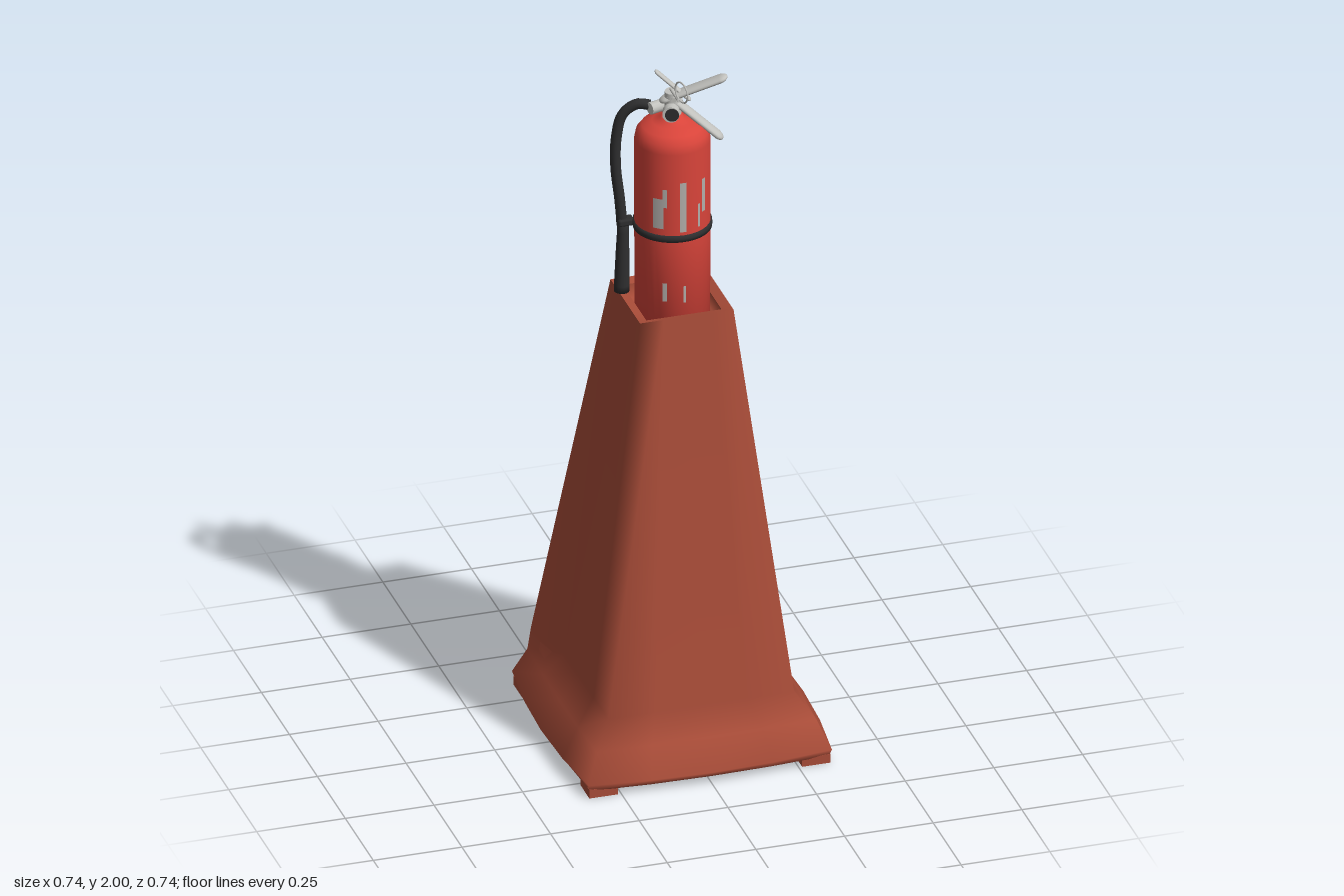
import * as THREE from 'three';
import { RoundedBoxGeometry } from 'three/addons/geometries/RoundedBoxGeometry.js';

const mat = (name, color, side = THREE.FrontSide) => {
  const m = new THREE.MeshStandardMaterial({ color, side });
  m.name = name;
  return m;
};

// Skin through rounded-square rings: [y, half size at corner, half size at middle, dented-corner pull]
function squareSkin(rings, seg = 4) {
  const n = seg * 4, pos = [], index = [];
  for (const [y, c, m, pull = 0] of rings) {
    for (let i = 0; i < n; i++) {
      const s = ((i % seg) / seg) * 2 - 1, side = Math.floor(i / seg);
      const out = c + (m - c) * (1 - s * s), along = c * s;
      const [sx, sz] = [[along, out], [out, -along], [-along, -out], [-out, along]][side];
      const dent = side === 3 && s === -1 ? pull : 0;
      pos.push(sx - dent, y, sz - dent);
    }
  }
  for (let j = 0; j < rings.length - 1; j++) {
    for (let i = 0; i < n; i++) {
      const a = j * n + i, b = j * n + ((i + 1) % n);
      index.push(a, b, b + n, a, b + n, a + n);
    }
  }
  const g = new THREE.BufferGeometry();
  g.setAttribute('position', new THREE.Float32BufferAttribute(pos, 3));
  g.setIndex(index);
  g.computeVertexNormals();
  return g;
}

const lathe = (pts, seg = 32) => new THREE.LatheGeometry(pts.map(([r, y]) => new THREE.Vector2(r, y)), seg);

export function createModel() {
  const model = new THREE.Group();
  const clay = mat('standOrange', 0xa84c38, THREE.DoubleSide);
  const red = mat('cylinderRed', 0xd8443a);
  const metal = mat('metalGrey', 0xc2c2be);
  const black = mat('rubberBlack', 0x2e2e2f);
  const label = mat('labelGrey', 0xb2aeaa, THREE.DoubleSide);

  const add = (name, geo, material, p = [0, 0, 0], r = [0, 0, 0], parent = model) => {
    const mesh = new THREE.Mesh(geo, material);
    mesh.name = name;
    mesh.position.set(...p);
    mesh.rotation.set(...r);
    parent.add(mesh);
    return mesh;
  };

  // Tapered hollow stand with flared foot, one dented corner and a shallow pocket
  add('standBody', squareSkin([
    [0.02, 0.336, 0.352], [0.04, 0.343, 0.37], [0.12, 0.31, 0.316],
    [0.19, 0.262, 0.262, 0.04], [1.31, 0.132, 0.132],
  ]), clay);
  add('standRim', squareSkin([[1.31, 0.132, 0.132], [1.302, 0.106, 0.106]]), clay);
  add('standPocket', squareSkin([[1.302, 0.106, 0.106], [1.26, 0.104, 0.104], [1.26, 0, 0]]), clay);
  add('standInside', squareSkin([
    [1.25, 0, 0], [1.25, 0.125, 0.125], [0.187, 0.249, 0.249, 0.04], [0.115, 0.297, 0.302],
    [0.035, 0.328, 0.35], [0.02, 0.336, 0.352],
  ]), clay);
  for (const x of [-1, 1]) {
    for (const z of [-1, 1]) {
      add('cornerFoot', new THREE.BoxGeometry(0.08, 0.026, 0.08), clay, [x * 0.3, 0.013, z * 0.3]);
    }
  }

  // Pressure cylinder
  const z0 = 0.003;
  add('cylinder', lathe([
    [0, 1.265], [0.102, 1.265], [0.103, 1.535], [0.103, 1.79], [0.098, 1.815],
    [0.083, 1.834], [0.055, 1.845], [0.032, 1.852], [0.026, 1.866], [0, 1.868],
  ]), red, [0, 0, z0]);
  add('strap', lathe([[0.1, 1.525], [0.107, 1.526], [0.108, 1.535], [0.107, 1.544], [0.1, 1.545]], 40), black, [0, 0, z0]);
  add('strapClip', new RoundedBoxGeometry(0.045, 0.02, 0.034, 2, 0.006), black, [-0.12, 1.535, -0.038]);

  // Worn label strips: [angle from front, angular width, bottom, top]
  const strips = [
    [-0.68, 0.3, 1.565, 1.655], [-0.5, 0.12, 1.63, 1.685], [-0.02, 0.17, 1.555, 1.705],
    [0.62, 0.13, 1.6, 1.7], [0.45, 0.06, 1.56, 1.63], [1.46, 0.05, 1.56, 1.7],
    [-0.5, 0.12, 1.345, 1.4], [0.02, 0.06, 1.34, 1.39],
  ];
  for (const [a, w, lo, hi] of strips) {
    add('labelStrip', new THREE.CylinderGeometry(0.1045, 0.1045, hi - lo, 4, 1, true, a - w / 2, w),
      label, [0, (lo + hi) / 2, z0]);
  }

  // Valve
  add('valveBody', new THREE.CylinderGeometry(0.021, 0.025, 0.075, 16), metal, [0, 1.895, z0]);
  add('valveOutlet', new THREE.CylinderGeometry(0.017, 0.017, 0.065, 12), metal, [-0.032, 1.888, -0.008], [0, 0.3, Math.PI / 2]);
  add('gaugeCase', new THREE.CylinderGeometry(0.023, 0.023, 0.024, 20), metal, [-0.016, 1.888, 0.042], [Math.PI / 2, 0, 0.35]);
  add('gaugeFace', new THREE.CylinderGeometry(0.019, 0.019, 0.004, 20), black, [-0.017, 1.888, 0.0545], [Math.PI / 2, 0, 0.35]);

  // Squeeze levers with rounded ends, in a turned group
  const levers = new THREE.Group();
  levers.name = 'levers';
  levers.position.set(0, 0, z0);
  levers.rotation.y = -0.33;
  model.add(levers);
  const bar = (name, x1, y1, x2, y2, w, t) => add(name,
    new THREE.CapsuleGeometry(w / 2, Math.hypot(x2 - x1, y2 - y1) - w, 6, 16).rotateZ(Math.PI / 2).scale(1, t / w, 1), metal,
    [(x1 + x2) / 2, (y1 + y2) / 2, 0], [0, 0, Math.atan2(y2 - y1, x2 - x1)], levers);
  bar('upperLever', -0.035, 1.902, 0.148, 1.98, 0.042, 0.02);
  bar('lowerHandle', -0.02, 1.928, 0.136, 1.79, 0.04, 0.02);
  bar('leverTail', -0.047, 1.995, 0.05, 1.905, 0.022, 0.011);
  add('leverPivot', new THREE.CylinderGeometry(0.007, 0.007, 0.052, 10), metal, [0.005, 1.918, 0], [Math.PI / 2, 0, 0], levers);

  // Hanging tab with a hole
  const tab = new THREE.Shape();
  tab.moveTo(-0.02, 0).lineTo(-0.02, 0.045).absarc(0, 0.045, 0.02, Math.PI, 0, true).lineTo(0.02, 0);
  tab.holes.push(new THREE.Path().absarc(0, 0.045, 0.009, 0, Math.PI * 2, false));
  add('hangingTab', new THREE.ExtrudeGeometry(tab, { depth: 0.006, bevelEnabled: false, curveSegments: 10 }),
    metal, [0.01, 1.895, 0], [-1.45, 0, -0.12]);

  // Safety pin and pull ring
  add('safetyPin', new THREE.CylinderGeometry(0.004, 0.004, 0.07, 8), metal, [-0.002, 1.935, 0.03], [Math.PI / 2, 0, 0]);
  add('pullRing', new THREE.TorusGeometry(0.029, 0.0025, 6, 28), metal, [0.004, 1.963, 0.073], [0, Math.PI / 2 + 0.3, 0]);

  // Hose and nozzle
  const hose = new THREE.CatmullRomCurve3([
    [-0.055, 1.889, -0.016], [-0.09, 1.892, -0.028], [-0.126, 1.86, -0.041], [-0.142, 1.79, -0.047],
    [-0.144, 1.7, -0.047], [-0.134, 1.6, -0.043], [-0.126, 1.5, -0.041],
  ].map((p) => new THREE.Vector3(...p)));
  add('hose', new THREE.TubeGeometry(hose, 40, 0.0145, 12), black);
  add('nozzle', lathe([[0, 0], [0.021, 0], [0.021, 0.02], [0.018, 0.13], [0.016, 0.18], [0.016, 0.215], [0, 0.215]], 16),
    black, [-0.129, 1.322, -0.041], [0, 0, -0.02]);

  return model;
}
